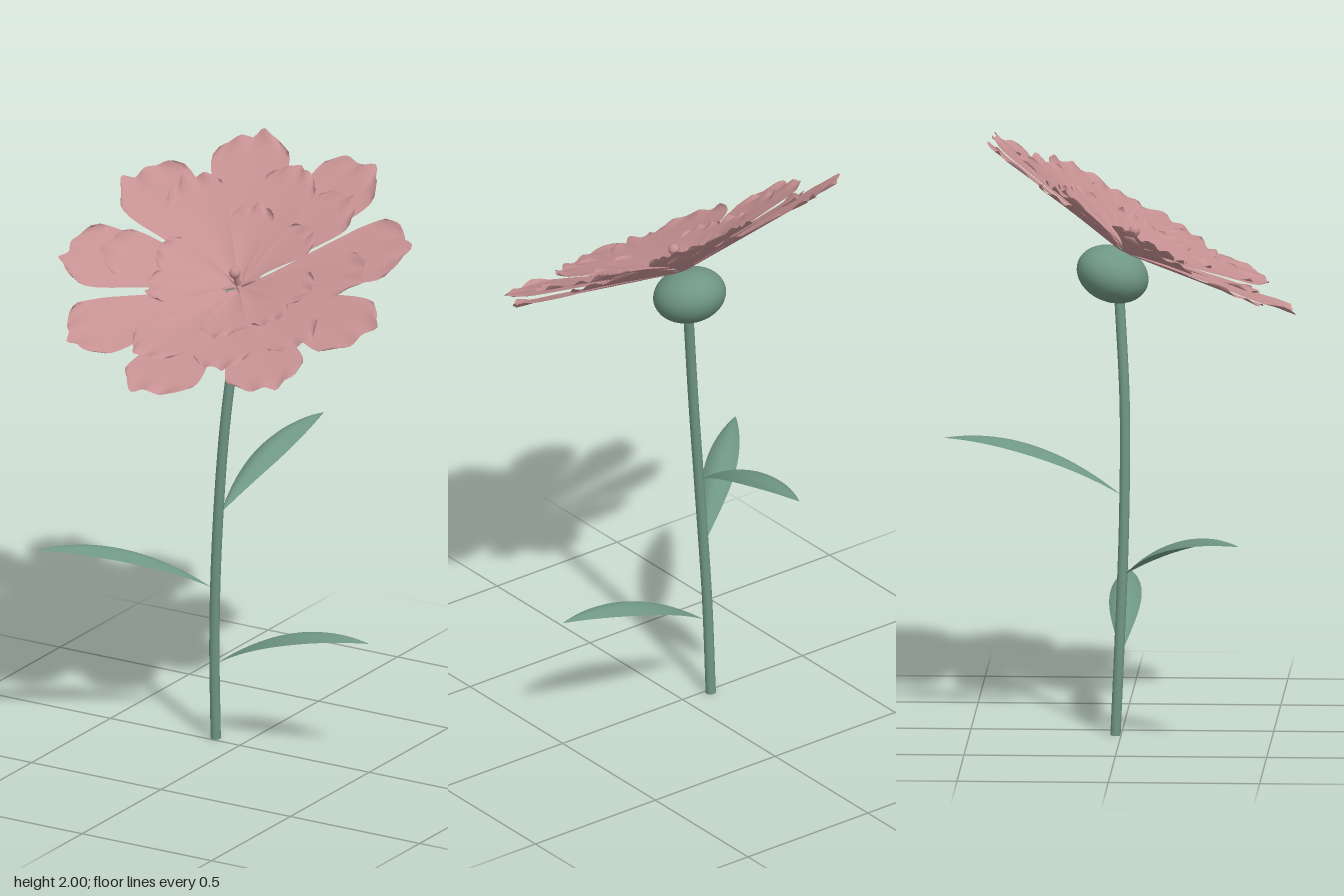
import * as THREE from 'three';
import { ParametricGeometry } from 'three/addons/geometries/ParametricGeometry.js';

const rad = THREE.MathUtils.degToRad;

function seeded(seed) {
  return () => {
    seed = (seed * 16807) % 2147483647;
    return seed / 2147483647;
  };
}

// Piecewise-linear lookup in [position, value] pairs
function sample(points, t) {
  for (let i = 1; i < points.length; i++) {
    const [a, va] = points[i - 1], [b, vb] = points[i];
    if (t <= b) return va + (vb - va) * (t - a) / (b - a);
  }
  return points[points.length - 1][1];
}

// Half-width of a petal along its length
const petalOutline = [[0, 0.07], [0.2, 0.25], [0.5, 0.64], [0.72, 0.91], [0.85, 1], [0.93, 0.97], [1, 0.8]];

// Wedge-shaped petal along +z with a blunt, slightly curled end and one small point
function petalGeometry(length, width, skew, phase) {
  return new ParametricGeometry((a, v, p) => {
    const u = a * 2 - 1;
    const rim = THREE.MathUtils.smoothstep(v, 0.84, 1);
    const point = Math.max(0, 1 - Math.abs(u - skew) / 0.3);
    const end = 0.95 - 0.07 * u ** 4 + 0.05 * point + 0.006 * Math.sin(u * 7 + phase);
    const x = u * width / 2 * sample(petalOutline, v);
    const z = length * v * (1 + (end - 1) * v * v);
    const cup = 0.006 * u * u * Math.sin(Math.PI * v);
    const curl = rim * (0.006 * Math.sin(u * 8 + phase) + 0.01 * u ** 4);
    p.set(x, cup + curl, z);
  }, 16, 16);
}

// Arching pointed leaf along +x, its edges turned down
function leafGeometry(length, rise) {
  return new ParametricGeometry((a, t, p) => {
    const u = a * 2 - 1;
    const half = 0.053 * Math.max(0, Math.sin(Math.PI * t ** 1.05)) ** 0.9;
    const y = 2 * t * (1 - t) * rise * 1.28 + t * t * rise;
    p.set(t * length, y - 0.5 * half * u * u, -u * half);
  }, 8, 24);
}

export function createModel() {
  const model = new THREE.Group();
  const pink = new THREE.MeshStandardMaterial({ color: 0xc69192, side: THREE.DoubleSide });
  pink.name = 'dusty pink';
  const green = new THREE.MeshStandardMaterial({ color: 0x6f9685, side: THREE.DoubleSide });
  green.name = 'sage green';

  const add = (parent, name, geometry, material) => {
    const mesh = new THREE.Mesh(geometry, material);
    mesh.name = name;
    parent.add(mesh);
    return mesh;
  };

  // Gently curved stem, closed at the foot
  const path = new THREE.CatmullRomCurve3([
    [-0.104, 0, -0.018], [-0.1, 0.35, -0.003], [-0.083, 0.7, 0.009],
    [-0.053, 1.1, 0.01], [-0.015, 1.47, -0.01],
  ].map(c => new THREE.Vector3(...c)));
  add(model, 'stem', new THREE.TubeGeometry(path, 32, 0.017, 12), green);
  const foot = add(model, 'stemFoot', new THREE.CircleGeometry(0.017, 12), green);
  foot.rotation.x = Math.PI / 2;
  foot.position.set(-0.104, 0.001, -0.018);

  // Three leaves spiralling up the stem: base position, heading, length, rise
  const leaves = [
    [-0.09, 0.27, 0, 0, 0.59, 0.18],
    [-0.1, 0.54, 0.015, 222, 0.59, 0.17],
    [-0.075, 0.8, 0, 86, 0.59, 0.18],
  ];
  for (const [x, y, z, heading, length, rise] of leaves) {
    const leaf = add(model, 'leaf', leafGeometry(length, rise), green);
    leaf.position.set(x, y, z);
    leaf.rotation.y = rad(heading);
  }

  // Flattened bulb behind the petals
  const bulb = add(model, 'calyx', new THREE.SphereGeometry(0.122, 32, 20), green);
  bulb.scale.y = 0.76;
  bulb.position.set(-0.005, 1.528, -0.032);
  bulb.rotation.x = rad(20);

  // Flower head, tipped forward
  const flower = new THREE.Group();
  flower.name = 'flowerHead';
  flower.position.set(0, 1.6, 0);
  flower.rotation.set(rad(29), 0, rad(-3.5));
  model.add(flower);

  // Three rings of petals, each shorter and a little steeper than the one outside it
  const rings = [
    { name: 'outerPetal', length: 0.622, width: 0.27, lift: 10.5, y: 0,
      angles: [-2, 40, 77, 117, 158, 201, 240, 280, 318] },
    { name: 'middlePetal', length: 0.49, width: 0.2, lift: 13, y: 0.008,
      angles: [-14, 22, 58, 103, 148, 178, 227, 277] },
    { name: 'innerPetal', length: 0.315, width: 0.15, lift: 15, y: 0.016,
      angles: [18, 56, 90, 143, 193, 268, 302] },
  ];
  const random = seeded(71);
  for (const ring of rings) {
    ring.angles.forEach((angle, i) => {
      const skew = (random() - 0.5) * 1.1;
      const geometry = petalGeometry(ring.length, ring.width, skew, random() * 6);
      const petal = add(flower, ring.name, geometry, pink);
      petal.position.y = ring.y;
      petal.rotation.order = 'YXZ';
      petal.rotation.set(rad(-ring.lift - (i % 2) * 0.8), rad(angle), 0);
    });
  }

  // Pistil with a round tip and a star of small stamens
  const pistil = add(flower, 'pistil', new THREE.CylinderGeometry(0.008, 0.014, 0.08, 12), pink);
  pistil.position.y = 0.04;
  const tip = add(flower, 'pistilTip', new THREE.SphereGeometry(0.019, 16, 12), pink);
  tip.position.y = 0.082;
  for (let i = 0; i < 5; i++) {
    const geometry = new THREE.ConeGeometry(0.011, 0.075, 8);
    geometry.rotateX(Math.PI / 2);
    geometry.translate(0, 0, 0.0375);
    const stamen = add(flower, 'stamen', geometry, pink);
    stamen.position.y = 0.018;
    stamen.rotation.order = 'YXZ';
    stamen.rotation.set(rad(-22), rad(36 + i * 72), 0);
  }
  return model;
}
